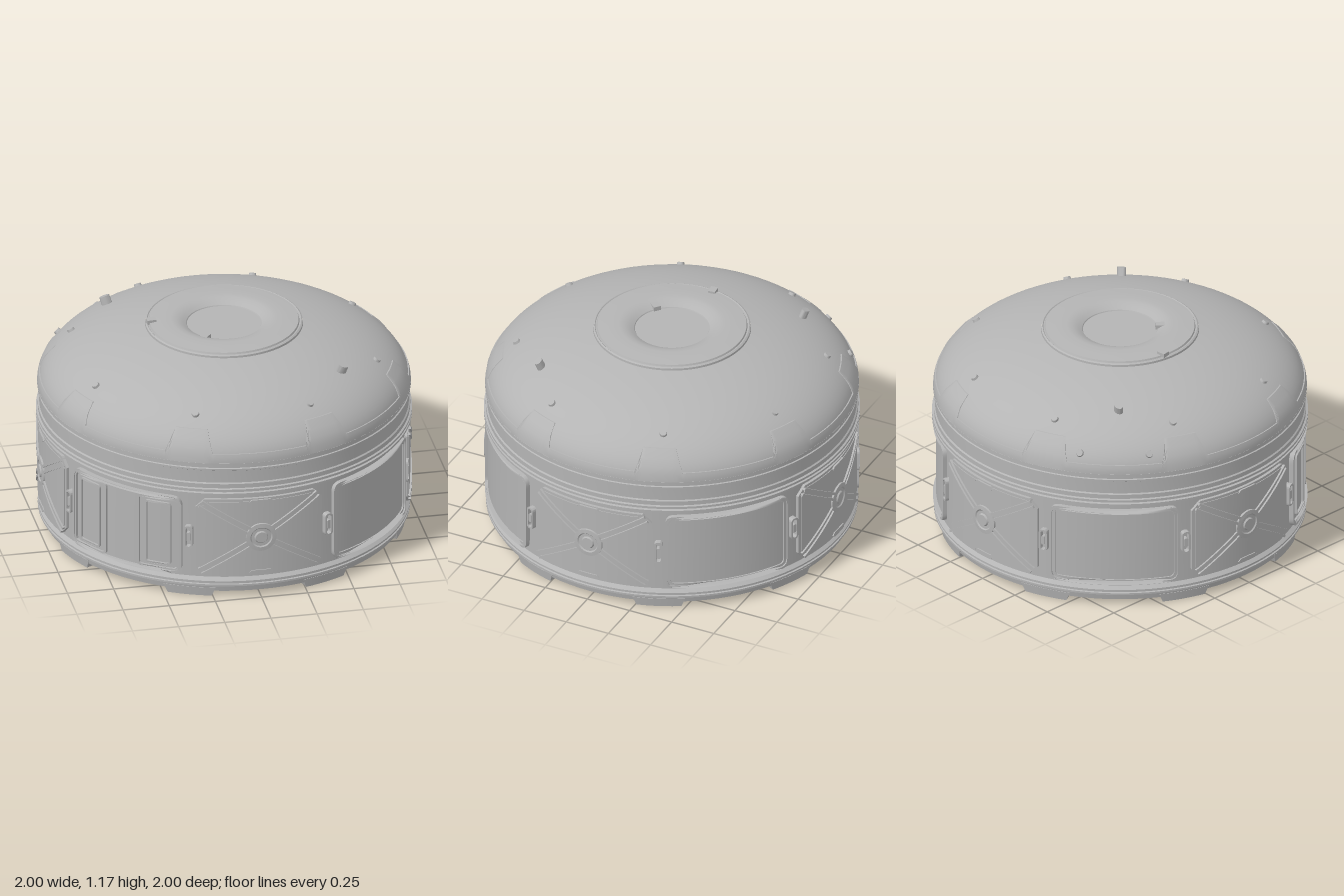
import * as THREE from 'three';
import { toCreasedNormals } from 'three/addons/utils/BufferGeometryUtils.js';

const grey = new THREE.MeshStandardMaterial({ color: 0xb4b4b4 });
grey.name = 'light grey';

const WALL = 0.968;            // wall radius
const MID = 0.355;             // mid height of the wall bays
const BASE = 0.8, RISE = 0.372, DOME_R = 0.985;
const domeRadius = (y) => DOME_R * Math.sqrt(1 - ((y - BASE) / RISE) ** 2);
const domeHeight = (r) => BASE + RISE * Math.sqrt(1 - (r / DOME_R) ** 2);
const rad = THREE.MathUtils.degToRad;

function add(parent, name, geometry) {
  const mesh = new THREE.Mesh(geometry, grey);
  mesh.name = name;
  parent.add(mesh);
  return mesh;
}

// Wraps a flat part (x along the wall, z outward) round the wall
function bend(geometry, y = MID) {
  const p = geometry.attributes.position;
  for (let i = 0; i < p.count; i++) {
    const a = p.getX(i) / WALL, r = WALL + p.getZ(i);
    p.setXYZ(i, Math.sin(a) * r, p.getY(i) + y, Math.cos(a) * r);
  }
  return toCreasedNormals(geometry, 0.5);
}

// Curved plate with cut corners, from the wall out to depth d
function plate(w, h, d, cut, cx = 0, cy = 0) {
  const g = new THREE.BoxGeometry(w, h, d + 0.01, 28, 1, 1);
  const p = g.attributes.position;
  for (let i = 0; i < p.count; i++) {
    const trim = Math.max(0, cut - (w / 2 - Math.abs(p.getX(i))));
    p.setY(i, p.getY(i) * (1 - (2 * trim) / h));
  }
  g.translate(cx, cy, (d - 0.01) / 2);
  return bend(g);
}

function roundRect(w, h, r) {
  const x = w / 2, y = h / 2, s = new THREE.Shape();
  s.moveTo(-x + r, -y);
  s.lineTo(x - r, -y).quadraticCurveTo(x, -y, x, -y + r);
  s.lineTo(x, y - r).quadraticCurveTo(x, y, x - r, y);
  s.lineTo(-x + r, y).quadraticCurveTo(-x, y, -x, y - r);
  s.lineTo(-x, -y + r).quadraticCurveTo(-x, -y, -x + r, -y);
  return s.getSpacedPoints(140).slice(0, -1);
}

// Curved rounded frame with a rim of the given thickness
function frame(w, h, r, rim, d, cx = 0) {
  const shape = new THREE.Shape(roundRect(w, h, r));
  shape.holes.push(new THREE.Path(roundRect(w - 2 * rim, h - 2 * rim, Math.max(r - rim, 0.008))));
  const g = new THREE.ExtrudeGeometry(shape, { depth: d + 0.01, bevelEnabled: false });
  return bend(g.translate(cx, 0, -0.01));
}

// Cross-braced panel with a round hub
function bracedPanel() {
  const g = new THREE.Group();
  add(g, 'bracedPanelPlate', plate(0.69, 0.455, 0.016, 0.05));
  add(g, 'bracedPanelFace', plate(0.655, 0.425, 0.02, 0.045));
  for (const s of [-1, 1]) {
    add(g, 'edgeTab', plate(0.13, 0.026, 0.026, 0.015, 0, s * 0.208));
    for (const t of [-1, 1]) for (const k of [-1, 1]) {
      const rail = new THREE.BoxGeometry(0.32, 0.014, 0.03, 12, 1, 1);
      rail.translate(0.215, k * 0.016, 0.015);
      rail.rotateZ(Math.atan2(0.19, 0.3) * t + (s < 0 ? Math.PI : 0));
      add(g, 'braceRail', bend(rail));
    }
  }
  const hub = [[0.084, 0], [0.08, 0.03], [0.058, 0.032], [0.052, 0.026], [0.036, 0.026], [0.03, 0.034], [0, 0.034]];
  const hubGeo = new THREE.LatheGeometry(hub.map(([r, z]) => new THREE.Vector2(r, z)), 32);
  add(g, 'hub', bend(hubGeo.rotateX(Math.PI / 2)));
  return g;
}

function windowBay() {
  const g = new THREE.Group();
  add(g, 'windowFrame', frame(0.69, 0.45, 0.05, 0.012, 0.024));
  add(g, 'windowInnerFrame', frame(0.668, 0.428, 0.042, 0.016, 0.016));
  add(g, 'windowPane', plate(0.64, 0.402, 0.008, 0.02));
  return g;
}

function doorBay() {
  const g = new THREE.Group();
  add(g, 'doorFrame', frame(0.69, 0.455, 0.06, 0.014, 0.026));
  add(g, 'doorPanel', plate(0.67, 0.435, 0.01, 0.05));
  for (const s of [-1, 1]) {
    add(g, 'doorLeafBorder', frame(0.235, 0.425, 0.03, 0.012, 0.022, s * 0.213));
    add(g, 'doorLeaf', frame(0.145, 0.37, 0.02, 0.01, 0.022, s * 0.213));
  }
  return g;
}

function latch() {
  const g = new THREE.Group();
  add(g, 'latchRim', frame(0.046, 0.13, 0.022, 0.01, 0.03));
  add(g, 'latchHandle', plate(0.02, 0.05, 0.028, 0.004));
  return g;
}

// Raised skirt on the dome, its top edge stepping up at each tab
function domeSkirt() {
  const rows = 5, g = new THREE.CylinderGeometry(1, 1, 1, 360, rows, true);
  const p = g.attributes.position;
  for (let i = 0; i < p.count; i++) {
    const a = Math.atan2(p.getX(i), p.getZ(i));
    const deg = (THREE.MathUtils.radToDeg(a) + 720) % 45;
    const tab = THREE.MathUtils.clamp((7.5 - Math.abs(deg - 22.5)) / 2, 0, 1);
    const row = Math.round((p.getY(i) + 0.5) * rows);
    const y = BASE + (0.05 + 0.105 * tab) * Math.min(1, row / (rows - 1));
    const r = domeRadius(y) + (row === rows ? -0.004 : 0.006);
    p.setXYZ(i, Math.sin(a) * r, y, Math.cos(a) * r);
  }
  return toCreasedNormals(g, 0.6);
}

// Places a small part on the dome, its y axis along the surface normal
function onDome(mesh, x, z) {
  const y = domeHeight(Math.hypot(x, z));
  const n = new THREE.Vector3(x / DOME_R ** 2, (y - BASE) / RISE ** 2, z / DOME_R ** 2).normalize();
  mesh.position.set(x, y, z);
  mesh.quaternion.setFromUnitVectors(new THREE.Vector3(0, 1, 0), n);
}

export function createModel() {
  const model = new THREE.Group();
  const lathe = (name, pts) => add(model, name, toCreasedNormals(
    new THREE.LatheGeometry(pts.map(([r, y]) => new THREE.Vector2(r, y)), 96), 0.45));

  // Drum: base, lower lip, wall and the stepped upper belt
  lathe('drum', [[0, 0.03], [0.965, 0.03], [0.972, 0.065], [0.988, 0.068], [0.988, 0.078], [0.98, 0.081],
    [0.98, 0.086], [0.988, 0.089], [0.988, 0.098], [WALL, 0.115], [WALL, 0.598], [0.985, 0.61],
    [0.998, 0.613], [0.998, 0.624], [0.985, 0.627], [0.985, 0.633], [0.998, 0.636], [0.998, 0.648],
    [0.988, 0.652], [0.988, 0.676], [0.981, 0.682], [0.981, 0.752], [0.988, 0.756], [0.988, 0.766],
    [0.981, 0.769], [0.981, 0.785], [0.992, 0.788], [0.992, 0.8], [0.98, 0.803]]);

  // Dome with the shallow dished cap
  const dome = [];
  for (let i = 0; i <= 18; i++) {
    const r = DOME_R * Math.cos((i / 18) * Math.acos(0.42 / DOME_R));
    dome.push([r, domeHeight(r)]);
  }
  lathe('dome', dome);
  add(model, 'domeSkirt', domeSkirt());
  lathe('cap', [[0.42, 1.12], [0.418, 1.147], [0.41, 1.152], [0.406, 1.148], [0.4, 1.148], [0.396, 1.157],
    [0.34, 1.162], [0.28, 1.165], [0.25, 1.162], [0.22, 1.15], [0.2, 1.138], [0.197, 1.133], [0, 1.133]]);
  for (const [x, z, y, turn] of [[-0.385, -0.05, 1.16, 0.1], [-0.135, 0.165, 1.145, 0.9]]) {
    const key = add(model, 'capKey', new THREE.BoxGeometry(0.05, 0.024, 0.04));
    key.position.set(x, y, z);
    key.rotation.y = turn;
  }

  // Wall bays: braced panels on the axes, windows and one door between them
  for (let i = 0; i < 8; i++) {
    const bay = i % 2 === 0 ? bracedPanel() : i === 7 ? doorBay() : windowBay();
    bay.name = i % 2 === 0 ? 'bracedPanel' : i === 7 ? 'door' : 'window';
    bay.rotation.y = rad(45 * i);
    const catchGroup = latch();
    catchGroup.name = 'latch';
    catchGroup.rotation.y = rad(45 * i + 22.5);
    model.add(bay, catchGroup);

    // Tapered foot under the rim
    const foot = new THREE.BoxGeometry(0.28, 0.05, 0.075, 10, 1, 1);
    const p = foot.attributes.position;
    for (let k = 0; k < p.count; k++) if (p.getY(k) < 0) {
      p.setX(k, p.getX(k) * 0.86);
      p.setZ(k, p.getZ(k) * 0.8);
    }
    foot.translate(0, 0, -0.034);
    add(model, 'foot', bend(foot, 0.025)).rotation.y = rad(45 * i + 22.5);
  }

  // Lamps on the dome
  const lamps = [[-0.53, -0.79], [-0.79, -0.53]];
  for (const sx of [-1, 1]) for (const sz of [-1, 1]) lamps.push([sx * 0.31, sz * 0.765], [sx * 0.76, sz * 0.33]);
  for (const [x, z] of lamps) {
    onDome(add(model, 'lamp', toCreasedNormals(new THREE.CylinderGeometry(0.018, 0.023, 0.026, 16), 0.6)), x, z);
  }

  // Sensor pods on opposite shoulders
  for (const s of [-1, 1]) {
    const pod = add(model, 'sensorPod', toCreasedNormals(new THREE.CylinderGeometry(0.022, 0.024, 0.09, 12), 0.6));
    pod.geometry.scale(1.25, 1, 0.9);
    onDome(pod, s * 0.53, s * 0.51);
  }
  return model;
}
